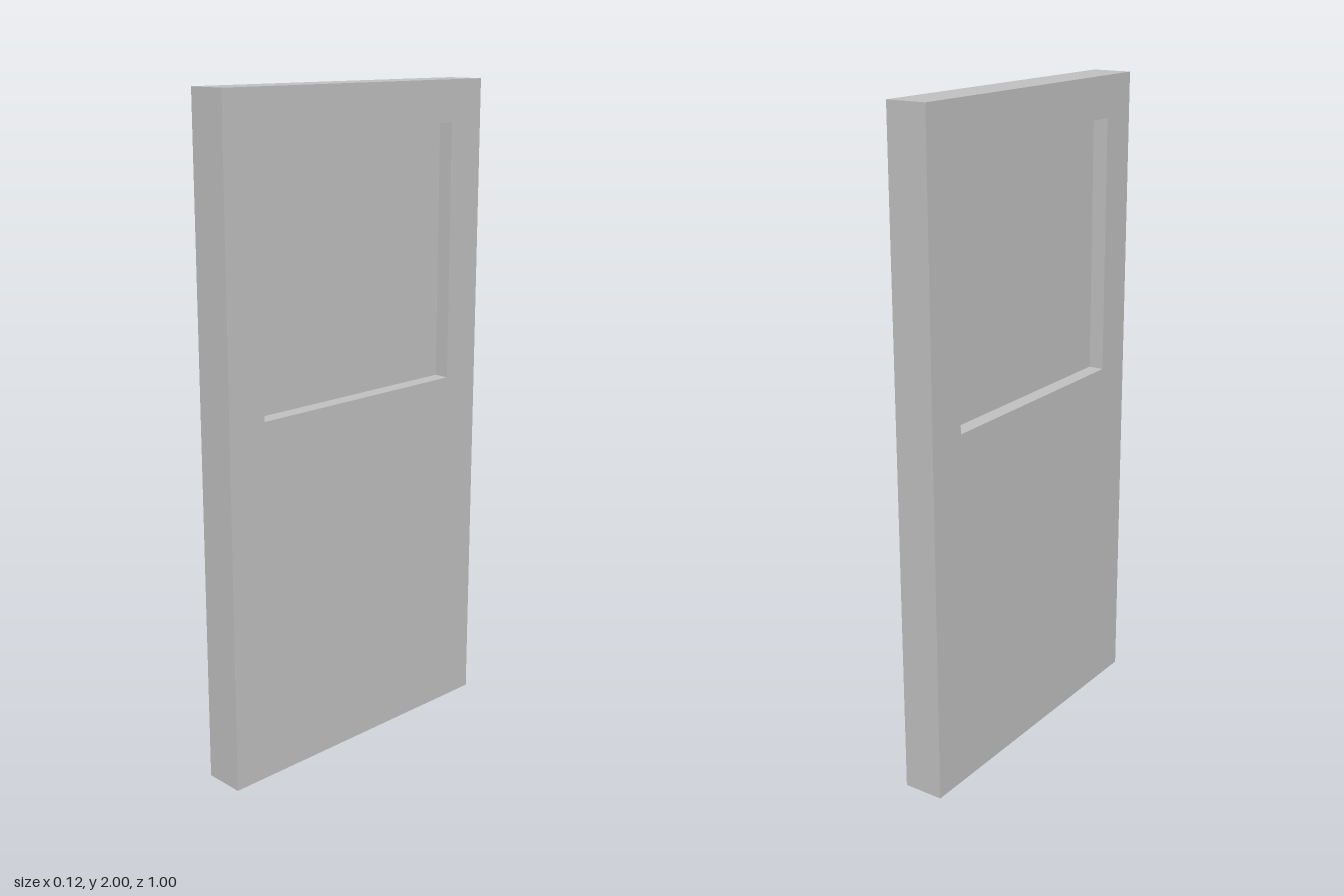
import * as THREE from 'three';

const HEIGHT = 2, WIDTH = 1, THICKNESS = 0.125;
const WINDOW = { halfWidth: 0.374, bottom: 1.095, top: 1.875, thickness: 0.03 };

// Rectangle outline, anticlockwise
function rectangle(target, halfWidth, bottom, top) {
  target.moveTo(-halfWidth, bottom);
  target.lineTo(halfWidth, bottom);
  target.lineTo(halfWidth, top);
  target.lineTo(-halfWidth, top);
  target.closePath();
  return target;
}

export function createModel() {
  const group = new THREE.Group();
  group.name = 'door';

  const grey = new THREE.MeshStandardMaterial({ color: 0xc0c0c0 });
  grey.name = 'light grey';

  // Door slab with a window opening, broad faces towards +x and -x
  const outline = rectangle(new THREE.Shape(), WIDTH / 2, 0, HEIGHT);
  outline.holes.push(rectangle(new THREE.Path(), WINDOW.halfWidth, WINDOW.bottom, WINDOW.top));
  const slabGeometry = new THREE.ExtrudeGeometry(outline, { depth: THICKNESS, bevelEnabled: false });
  slabGeometry.translate(0, 0, -THICKNESS / 2);
  slabGeometry.rotateY(Math.PI / 2);
  const slab = new THREE.Mesh(slabGeometry, grey);
  slab.name = 'doorSlab';
  group.add(slab);

  // Thin pane set mid-thickness, recessed on both sides
  const pane = new THREE.Mesh(
    new THREE.BoxGeometry(WINDOW.thickness, WINDOW.top - WINDOW.bottom, WINDOW.halfWidth * 2),
    grey
  );
  pane.name = 'windowPane';
  pane.position.y = (WINDOW.top + WINDOW.bottom) / 2;
  group.add(pane);

  return group;
}
